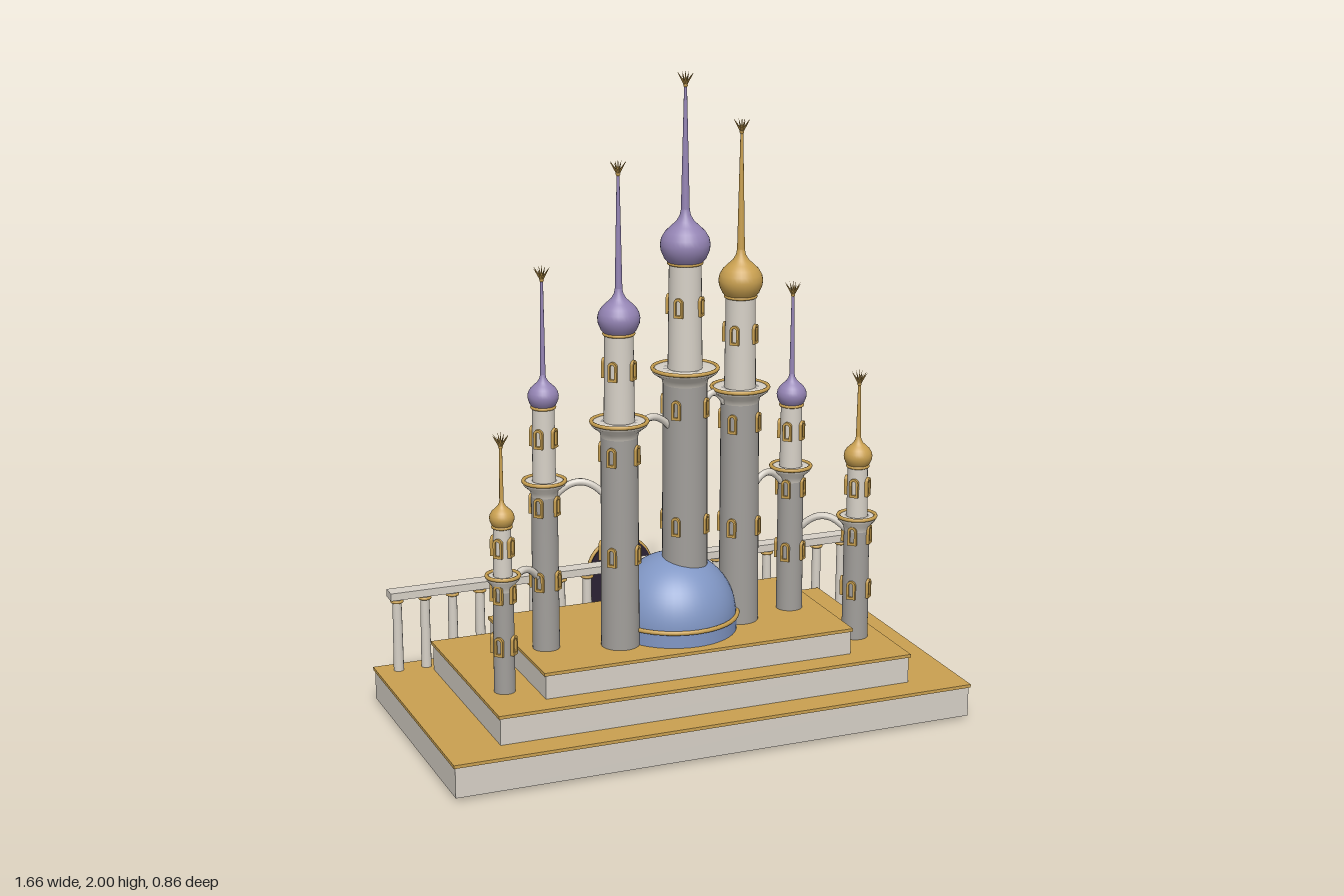
import * as THREE from 'three';

const mat = (name, color, side = THREE.FrontSide) => {
  const m = new THREE.MeshStandardMaterial({ color, side });
  m.name = name;
  return m;
};

export function createModel() {
  const root = new THREE.Group();
  root.name = 'palace';
  const stone = mat('pale stone', 0xd6d0c6);
  const shaftStone = mat('grey stone', 0xa19e9a);
  const gold = mat('gold', 0xc9a050);
  const purple = mat('purple', 0x9484b4);
  const blue = mat('dome blue', 0x8096c4);
  const dark = mat('dark door', 0x2a2133);

  const add = (parent, name, geo, material, x = 0, y = 0, z = 0) => {
    const m = new THREE.Mesh(geo, material);
    m.name = name;
    m.position.set(x, y, z);
    parent.add(m);
    return m;
  };
  const lathe = (pts, seg = 32) => new THREE.LatheGeometry(pts.map(p => new THREE.Vector2(...p)), seg);
  const ring = (r, t) => new THREE.TorusGeometry(r, t, 8, 36).rotateX(Math.PI / 2);

  // Stepped terraces with gold floors
  const tier = (w, z0, z1, y0, y1) => {
    const d = z1 - z0, z = (z0 + z1) / 2;
    add(root, 'terrace', new THREE.BoxGeometry(w, y1 - y0 - 0.01, d), stone, 0, (y0 + y1 - 0.01) / 2, z);
    add(root, 'terraceFloor', new THREE.BoxGeometry(w + 0.01, 0.01, d + 0.01), gold, 0, y1 - 0.005, z);
  };
  tier(1.65, -0.4, 0.425, 0.01, 0.113);
  tier(1.32, -0.315, 0.34, 0.113, 0.205);
  tier(0.99, -0.245, 0.27, 0.205, 0.288);

  // Central dome on a low drum
  add(root, 'domeDrum', new THREE.CylinderGeometry(0.192, 0.192, 0.05, 48), blue, 0, 0.312, 0.05);
  add(root, 'dome', new THREE.SphereGeometry(0.19, 48, 20, 0, Math.PI * 2, 0, Math.PI / 2), blue, 0, 0.336, 0.05);
  add(root, 'domeRing', ring(0.194, 0.007), gold, 0, 0.336, 0.05);

  // Arched window frame
  const arch = (path, w, h) => {
    path.moveTo(-w, -h);
    path.lineTo(w, -h);
    path.lineTo(w, h - w);
    path.absarc(0, h - w, w, 0, Math.PI, false);
    path.lineTo(-w, -h);
    return path;
  };
  const frameShape = arch(new THREE.Shape(), 0.014, 0.03);
  frameShape.holes.push(arch(new THREE.Path(), 0.007, 0.022));
  const frameGeo = new THREE.ExtrudeGeometry(frameShape, { depth: 0.014, bevelEnabled: false, curveSegments: 6 });

  const windows = (tower, y, r) => {
    for (let i = 0; i < 4; i++) {
      const a = Math.PI / 4 + i * Math.PI / 2, d = r - 0.007;
      add(tower, 'windowFrame', frameGeo, gold, Math.sin(a) * d, y, Math.cos(a) * d).rotation.y = a;
    }
  };

  // Crown of small flaring spikes on the spire
  const spike = new THREE.ConeGeometry(0.0045, 0.045, 5).translate(0, 0.0225, 0);
  const crown = (tower, y) => {
    add(tower, 'crownBead', new THREE.SphereGeometry(0.007, 10, 8), gold, 0, y, 0);
    for (let i = 0; i < 8; i++) {
      const s = add(tower, 'crownSpike', spike, gold, 0, y, 0);
      s.rotation.order = 'YXZ';
      s.rotation.set(0.6, i * Math.PI / 4, 0);
    }
    add(tower, 'crownSpike', spike, gold, 0, y, 0);
  };

  // x, z, base, lower radius, balcony y, balcony radius, upper radius, upper top, bulb radius, tip, bulb colour
  const towers = [
    [-0.585, 0.16, 0.2, 0.032, 0.565, 0.048, 0.028, 0.715, 0.037, 1.0, gold],
    [-0.422, 0.07, 0.285, 0.041, 0.81, 0.062, 0.035, 1.035, 0.046, 1.46, purple],
    [-0.207, 0.13, 0.285, 0.058, 0.985, 0.083, 0.046, 1.25, 0.063, 1.765, purple],
    [0.027, 0.07, 0.285, 0.07, 1.11, 0.098, 0.052, 1.43, 0.075, 2.0, purple],
    [0.213, 0.055, 0.285, 0.061, 1.03, 0.086, 0.048, 1.31, 0.067, 1.85, gold],
    [0.402, 0.02, 0.285, 0.041, 0.75, 0.061, 0.035, 0.945, 0.046, 1.335, purple],
    [0.578, 0.13, 0.2, 0.041, 0.6, 0.058, 0.033, 0.76, 0.044, 1.065, gold],
  ];
  towers.forEach(([x, z, y0, r, by, br, ur, top, R, tip, roof]) => {
    const t = new THREE.Group();
    t.name = 'tower';
    t.position.set(x, 0, z);
    root.add(t);
    add(t, 'lowerShaft', new THREE.CylinderGeometry(r * 0.95, r, by - y0, 32), shaftStone, 0, (by + y0) / 2, 0);
    add(t, 'balcony', lathe([[r * 0.94, by - 0.05], [r * 1.02, by - 0.03], [br, by - 0.012], [br, by], [0, by]]), stone);
    add(t, 'balconyRing', ring(br, 0.006), gold, 0, by, 0);
    add(t, 'upperShaft', new THREE.CylinderGeometry(ur * 0.93, ur, top - by, 32), stone, 0, (by + top) / 2, 0);
    add(t, 'roofRing', ring(ur * 0.95, 0.005), gold, 0, top, 0);
    for (const f of [0.42, 0.86]) windows(t, y0 + (by - y0) * f, r * (1 - 0.05 * f));
    windows(t, by + (top - by) * 0.6, ur * 0.96);
    // Onion roof running up into the spire
    const onion = [[0.62, -0.05], [0.84, 0.2], [0.97, 0.5], [1, 0.75], [0.95, 1], [0.8, 1.25], [0.58, 1.46], [0.36, 1.66], [0.22, 1.9], [0.17, 2.15]];
    add(t, 'onionRoof', lathe(onion.map(([a, b]) => [a * R, top + b * R])), roof);
    const s0 = top + 2.1 * R, s1 = tip - 0.037;
    add(t, 'spire', new THREE.CylinderGeometry(0.004, R * 0.175, s1 - s0, 16), roof, 0, (s0 + s1) / 2, 0);
    crown(t, tip - 0.045);
  });

  // Arched bridges between neighbouring towers
  for (let i = 0; i < towers.length - 1; i++) {
    const a = towers[i], b = towers[i + 1];
    const y = Math.min(a[4], b[4]) - 0.045;
    const p = new THREE.Vector3(a[0], y, a[1]), q = new THREE.Vector3(b[0], y, b[1]);
    const dir = q.clone().sub(p).normalize();
    p.addScaledVector(dir, a[3] * 0.85);
    q.addScaledVector(dir, -b[3] * 0.85);
    const mid = p.clone().add(q).multiplyScalar(0.5);
    mid.y += 0.075;
    add(root, 'bridge', new THREE.TubeGeometry(new THREE.QuadraticBezierCurve3(p, mid, q), 20, 0.011, 8), stone);
  }

  // Rear balustrade
  add(root, 'handrail', new THREE.BoxGeometry(1.575, 0.024, 0.05), stone, 0, 0.362, -0.352);
  const post = new THREE.CylinderGeometry(0.014, 0.016, 0.24, 14);
  for (let i = 0; i < 18; i++) {
    const x = -0.762 + i * 1.524 / 17;
    add(root, 'baluster', post, stone, x, 0.232, -0.352);
    add(root, 'balusterCap', ring(0.016, 0.005), gold, x, 0.34, -0.352);
  }

  // Rear arched door with gold surround
  const doorShape = arch(new THREE.Shape(), 0.107, 0.212);
  add(root, 'door', new THREE.ExtrudeGeometry(doorShape, { depth: 0.014, bevelEnabled: false, curveSegments: 24 }), dark, 0, 0.22, -0.416);
  const edge = [[-0.107, 0.008], [-0.107, 0.325]];
  for (let i = 1; i <= 16; i++) {
    const a = Math.PI * (1 - i / 16);
    edge.push([Math.cos(a) * 0.107, 0.325 + Math.sin(a) * 0.107]);
  }
  edge.push([0.107, 0.008]);
  const path = new THREE.CurvePath();
  const pts = edge.map(([x, y]) => new THREE.Vector3(x, y, -0.413));
  for (let i = 0; i < pts.length - 1; i++) path.add(new THREE.LineCurve3(pts[i], pts[i + 1]));
  add(root, 'doorSurround', new THREE.TubeGeometry(path, 90, 0.008, 8), gold);
  add(root, 'doorSill', new THREE.BoxGeometry(0.23, 0.016, 0.018), gold, 0, 0.008, -0.413);
  add(root, 'doorFinial', new THREE.SphereGeometry(0.018, 18, 12), gold, 0, 0.452, -0.413);

  return root;
}
